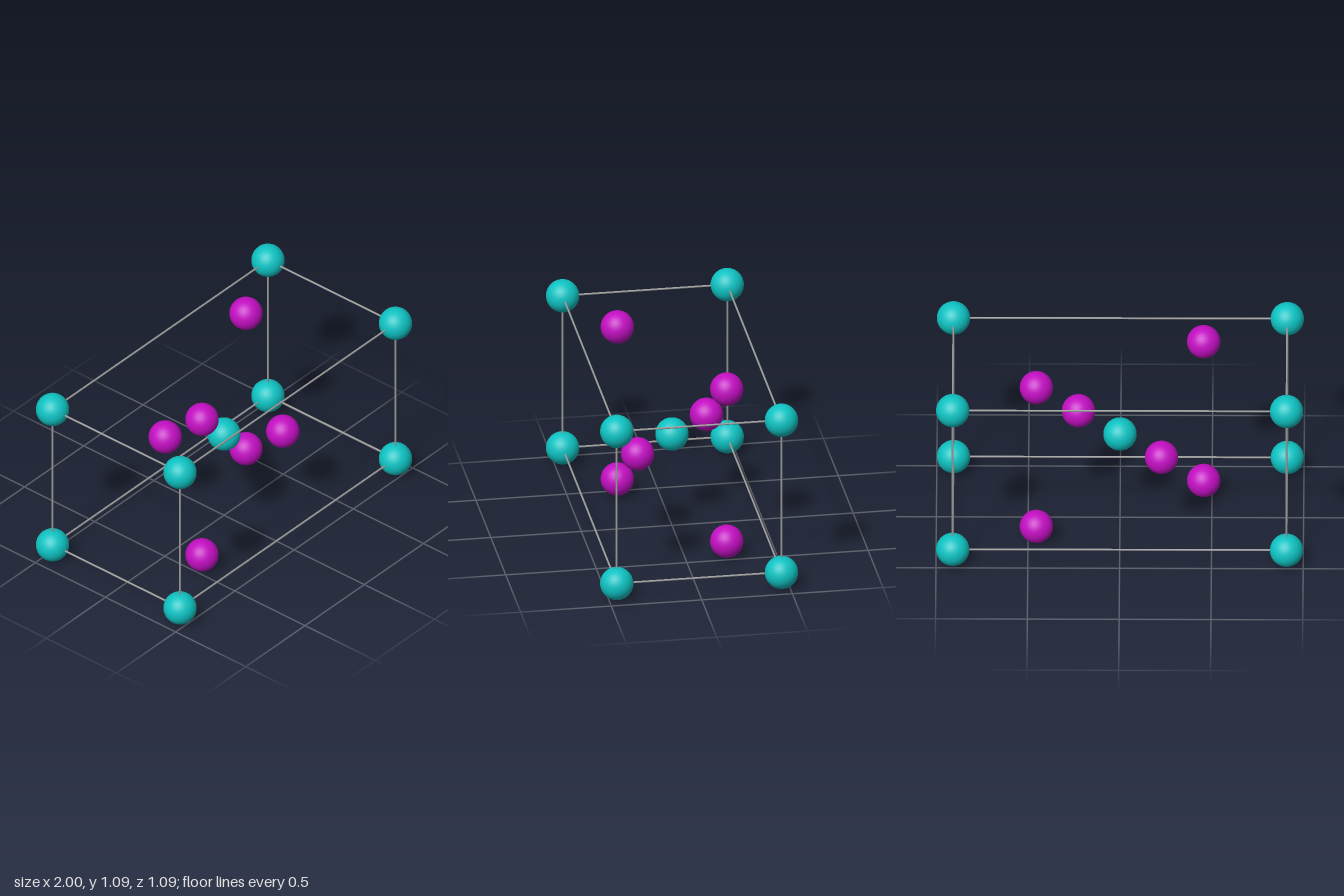
import * as THREE from 'three';

const R = 0.091;              // ball radius
const X = 0.909, Z = 0.4545;  // half width and half depth of the cell
const Y0 = R, Y1 = 1.0, YM = (Y0 + Y1) / 2;
const ROD = 0.0055;

export function createModel() {
  const model = new THREE.Group();
  model.name = 'crystalCell';

  const teal = new THREE.MeshStandardMaterial({ color: 0x0fc2c2 });
  teal.name = 'teal';
  const magenta = new THREE.MeshStandardMaterial({ color: 0xc20fc2 });
  magenta.name = 'magenta';
  const grey = new THREE.MeshStandardMaterial({ color: 0x999999 });
  grey.name = 'grey';

  const ballGeometry = new THREE.SphereGeometry(R, 48, 32);
  const ball = (name, material, x, y, z) => {
    const mesh = new THREE.Mesh(ballGeometry, material);
    mesh.name = name;
    mesh.position.set(x, y, z);
    model.add(mesh);
  };

  // Thin cylinder along one axis, centred at the given point
  const rod = (name, axis, length, x, y, z) => {
    const mesh = new THREE.Mesh(new THREE.CylinderGeometry(ROD, ROD, length, 16), grey);
    mesh.name = name;
    mesh.position.set(x, y, z);
    if (axis === 'x') mesh.rotation.z = Math.PI / 2;
    if (axis === 'z') mesh.rotation.x = Math.PI / 2;
    model.add(mesh);
  };

  // Corner atoms and the central atom
  for (const x of [-X, X])
    for (const y of [Y0, Y1])
      for (const z of [-Z, Z]) ball('cornerAtom', teal, x, y, z);
  ball('centreAtom', teal, 0, YM, 0);

  // Inner atoms: diagonal pairs on the top and bottom faces and at mid height
  for (const s of [-1, 1]) {
    for (const y of [Y0, Y1]) ball('faceAtom', magenta, s * X / 2, y, -s * Z / 2);
    ball('middleAtom', magenta, s * X / 4, YM, s * Z / 2);
  }

  // Twelve edges of the cell
  for (const a of [-1, 1]) {
    for (const y of [Y0, Y1]) {
      rod('widthEdge', 'x', 2 * X, 0, y, a * Z);
      rod('depthEdge', 'z', 2 * Z, a * X, y, 0);
    }
    for (const b of [-1, 1]) rod('uprightEdge', 'y', Y1 - Y0, a * X, YM, b * Z);
  }

  return model;
}
